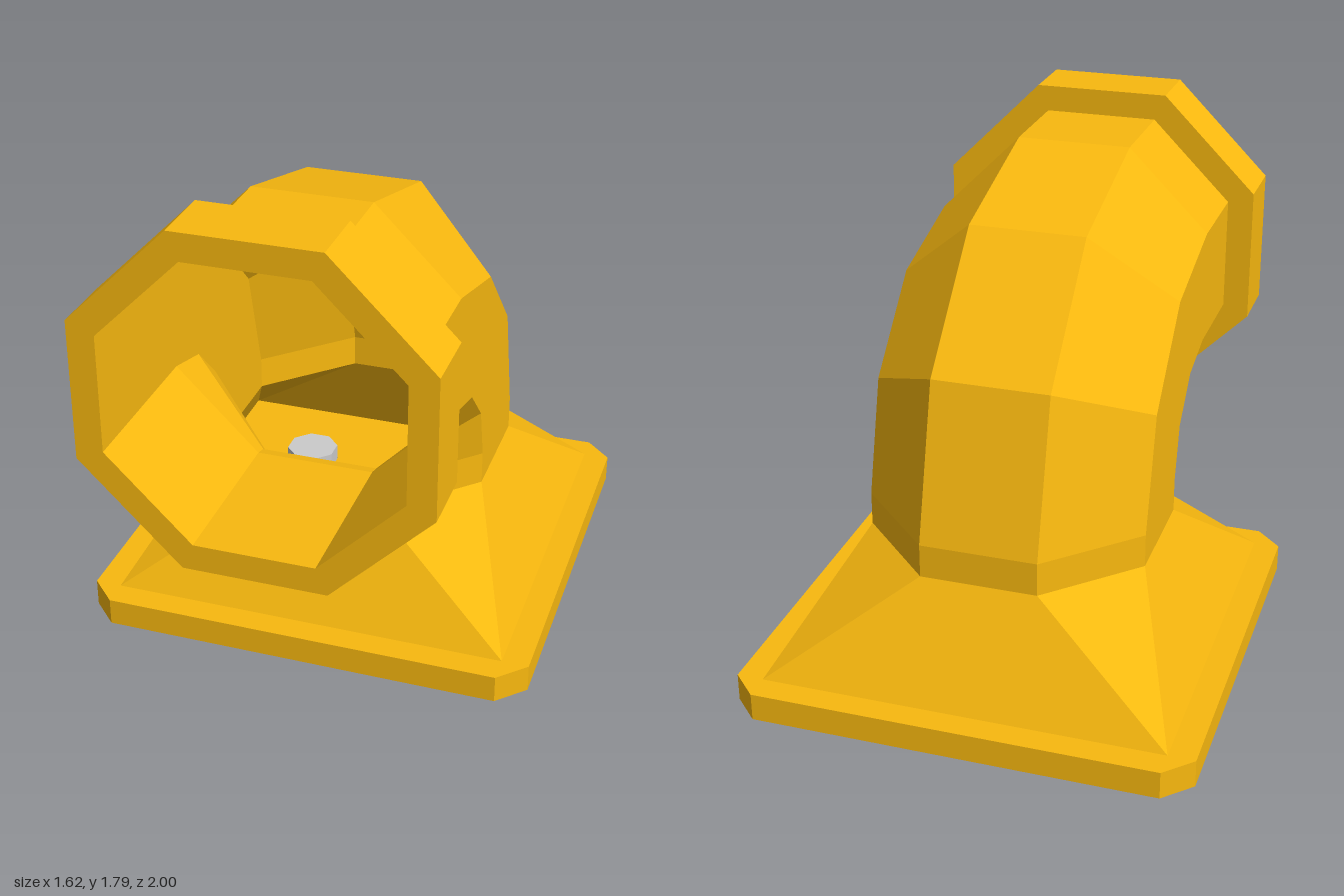
import * as THREE from 'three';

const yellow = new THREE.MeshStandardMaterial({ color: 0xf9b90f, flatShading: true, side: THREE.DoubleSide });
const grey = new THREE.MeshStandardMaterial({ color: 0xcccccc, flatShading: true, side: THREE.DoubleSide });

const BASE_Z = -0.19;   // centre of the base plate and the upright pipe
const BEND = { z: 0.405, y: 0.6, radius: 0.595 };

// Octagon with flats on the axes; r is the distance to a flat
function octagon(r, cx = 0, cy = 0) {
  return Array.from({ length: 8 }, (_, i) => {
    const a = (i + 0.5) * Math.PI / 4, R = r / Math.cos(Math.PI / 8);
    return new THREE.Vector2(cx + R * Math.cos(a), cy + R * Math.sin(a));
  });
}

// Skin a list of equal-length closed rings, skipping collapsed triangles
function loft(rings) {
  const pos = [];
  const tri = (a, b, c) => {
    if (a.distanceTo(b) < 1e-6 || b.distanceTo(c) < 1e-6 || a.distanceTo(c) < 1e-6) return;
    for (const p of [a, b, c]) pos.push(p.x, p.y, p.z);
  };
  for (let i = 0; i < rings.length - 1; i++) {
    const n = rings[i].length;
    for (let j = 0; j < n; j++) {
      const k = (j + 1) % n;
      tri(rings[i][j], rings[i + 1][j], rings[i][k]);
      tri(rings[i][k], rings[i + 1][j], rings[i + 1][k]);
    }
  }
  const g = new THREE.BufferGeometry();
  g.setAttribute('position', new THREE.Float32BufferAttribute(pos, 3));
  g.computeVertexNormals();
  return g;
}

export function createModel() {
  const model = new THREE.Group();
  const add = (name, geometry, material = yellow) => {
    const mesh = new THREE.Mesh(geometry, material);
    mesh.name = name;
    model.add(mesh);
    return mesh;
  };

  // Base plate with clipped corners and four bolt holes
  const w = 0.81, c = 0.715, bolt = 0.335;
  const plate = new THREE.Shape([[w, -c], [w, c], [c, w], [-c, w], [-w, c], [-w, -c], [-c, -w], [c, -w]]
    .map(([x, y]) => new THREE.Vector2(x, y)));
  const spots = [[1, 1], [-1, 1], [-1, -1], [1, -1]].map(([x, z]) => [x * bolt, z * bolt]);
  for (const [x, z] of spots) plate.holes.push(new THREE.Path(octagon(0.095, x, z)));
  const plateGeo = new THREE.ExtrudeGeometry(plate, { depth: 0.1, bevelEnabled: false });
  plateGeo.rotateX(-Math.PI / 2).translate(0, 0, BASE_Z);
  add('basePlate', plateGeo);

  // Grey sockets lining the bolt holes
  for (const [x, z] of spots) {
    const rings = [0, 0.16].map(y => octagon(0.093, x, z).map(p => new THREE.Vector3(p.x, y, p.y + BASE_Z)));
    rings.push(rings[1].map(() => new THREE.Vector3(x, 0.16, z + BASE_Z)));
    add('boltSocket', loft(rings), grey);
  }

  // Flare from the square foot to the octagonal pipe
  const section = octagon(0.5);
  const foot = section.map(p => new THREE.Vector3(Math.sign(p.x) * c, 0.1, Math.sign(p.y) * c + BASE_Z));
  const neck = section.map(p => new THREE.Vector3(p.x, 0.48, p.y + BASE_Z));
  add('flare', loft([foot, neck]));

  // Elbow: short upright, quarter bend in three steps, straight run forward
  const bendRings = [0, 1, 2, 3].map(i => section.map(p => {
    const a = i * Math.PI / 6, r = BEND.radius - p.y;
    return new THREE.Vector3(p.x, BEND.y + r * Math.sin(a), BEND.z - r * Math.cos(a));
  }));
  const mouth = bendRings[3].map(p => new THREE.Vector3(p.x, p.y, 0.765));
  add('elbowPipe', loft([neck, ...bendRings, mouth]));

  // Thick collar around the open mouth
  const ring = new THREE.Shape(octagon(0.595));
  ring.holes.push(new THREE.Path(octagon(0.5)));
  const collar = add('collar', new THREE.ExtrudeGeometry(ring, { depth: 0.235, bevelEnabled: false }));
  collar.position.set(0, BEND.y + BEND.radius, 0.765);

  return model;
}
